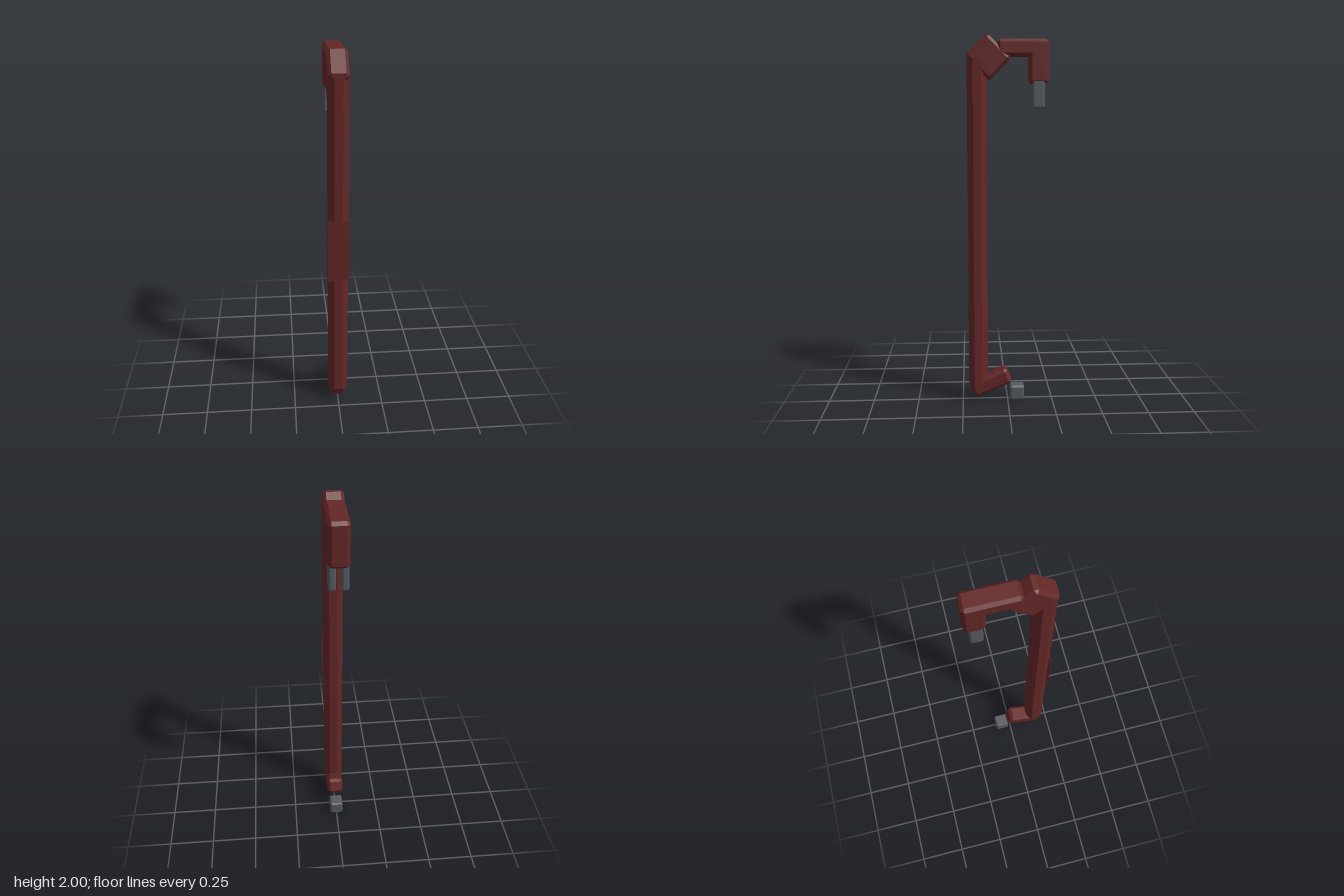
import * as THREE from 'three';
import { ConvexGeometry } from 'three/addons/geometries/ConvexGeometry.js';

// Box with every edge cut at 45 degrees: the hull of its six inset faces
function chamferBox(w, h, d, c) {
  const half = [w / 2, h / 2, d / 2];
  const points = [];
  for (let axis = 0; axis < 3; axis++) {
    for (const sx of [-1, 1]) for (const sy of [-1, 1]) for (const sz of [-1, 1]) {
      const p = [sx, sy, sz].map((s, i) => s * (i === axis ? half[i] : half[i] - c));
      points.push(new THREE.Vector3(...p));
    }
  }
  return new ConvexGeometry(points);
}

export function createModel() {
  const model = new THREE.Group();
  const red = new THREE.MeshStandardMaterial({ color: 0x642626 });
  red.name = 'dark red';
  const grey = new THREE.MeshStandardMaterial({ color: 0x555a60 });
  grey.name = 'steel grey';

  function add(name, geometry, material, x, y, z, tilt = 0) {
    const mesh = new THREE.Mesh(geometry, material);
    mesh.name = name;
    mesh.position.set(x, y, z);
    mesh.rotation.x = tilt;
    model.add(mesh);
    return mesh;
  }

  // Long octagonal bar, turned so a flat faces the front
  const bar = new THREE.CylinderGeometry(0.0574, 0.0574, 1.79, 8).rotateY(Math.PI / 8).toNonIndexed();
  bar.computeVertexNormals();
  add('mainBar', bar, red, 0, 0.985, 0.163);

  // Thin plate on the front of the bar
  add('frontPlate', new THREE.BoxGeometry(0.112, 0.35, 0.003), red, 0, 0.975, 0.2155);

  // Upper joint, overhanging arm and downturned end
  add('upperJoint', chamferBox(0.104, 0.167, 0.181, 0.016), red, 0, 1.8885, 0.1035, -Math.PI / 4);
  add('upperArm', chamferBox(0.104, 0.089, 0.275, 0.016), red, 0, 1.9375, -0.0815);
  add('upperEnd', chamferBox(0.104, 0.232, 0.106, 0.016), red, 0, 1.866, -0.166);

  // Pair of prongs under the upper end
  for (const side of [-1, 1]) {
    add(side > 0 ? 'leftProng' : 'rightProng', chamferBox(0.037, 0.16, 0.066, 0.008), grey, side * 0.032, 1.704, -0.163);
  }

  // Lower slanted arm and the separate block beneath it
  add('lowerArm', chamferBox(0.092, 0.09, 0.222, 0.016), red, 0, 0.102, 0.0935, 0.404);
  add('lowerBlock', chamferBox(0.074, 0.08, 0.08, 0.008), grey, 0, 0.04, -0.053);

  return model;
}
